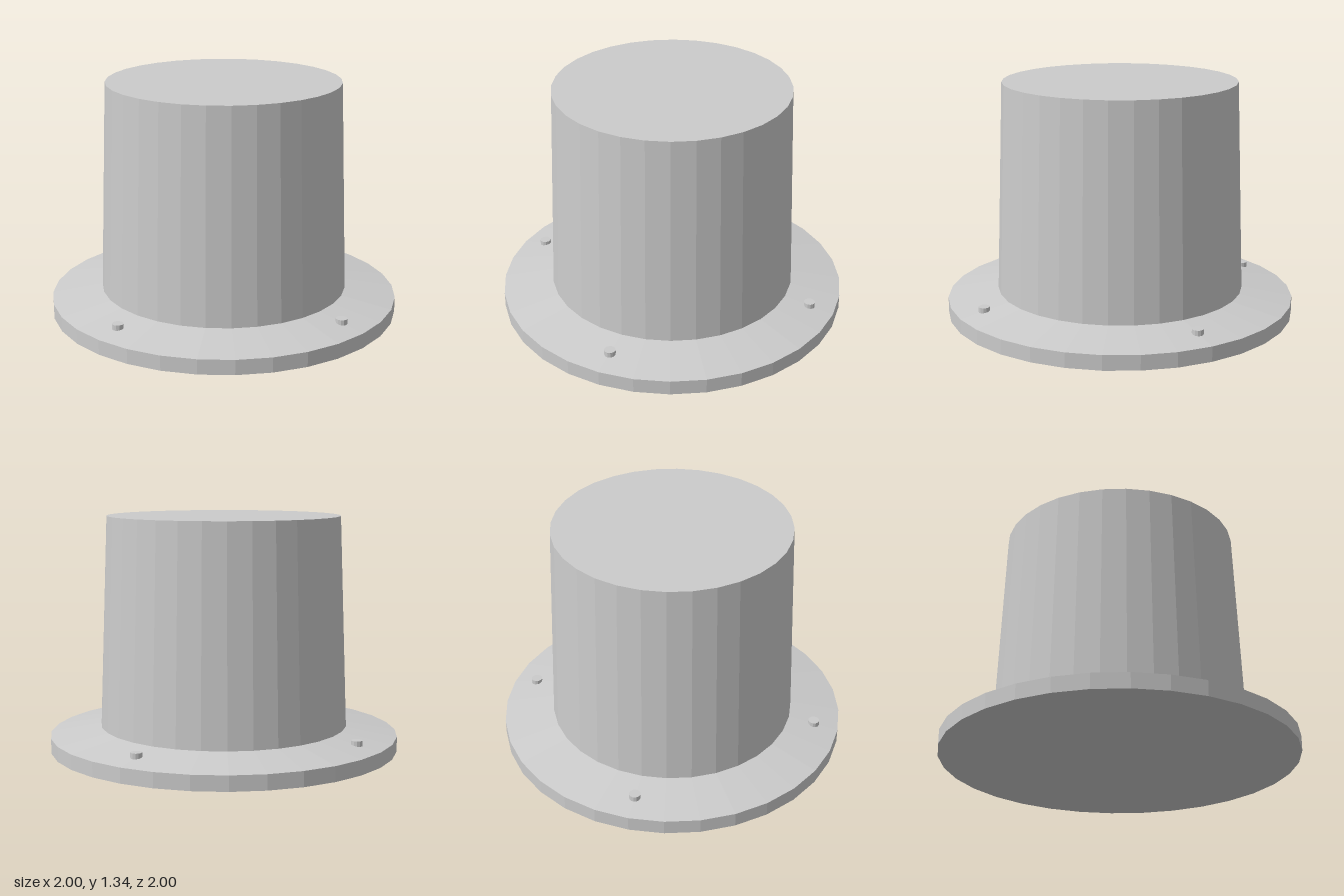
import * as THREE from 'three';

const SIDES = 32;

export function createModel() {
  const model = new THREE.Group();
  const material = new THREE.MeshStandardMaterial({ color: 0xcccccc, flatShading: true });

  // Adds a capped, optionally tapered cylinder standing between two heights
  const addCylinder = (name, rTop, rBottom, y0, y1, sides, x = 0, z = 0) => {
    const mesh = new THREE.Mesh(new THREE.CylinderGeometry(rTop, rBottom, y1 - y0, sides), material);
    mesh.name = name;
    mesh.position.set(x, (y0 + y1) / 2, z);
    model.add(mesh);
  };

  // Round base flange: straight rim, then a shallow slope up to the body
  const profile = [[0, 0], [1, 0], [1, 0.085], [0.71, 0.135], [0, 0.135]]
    .map(([r, y]) => new THREE.Vector2(r, y));
  const flange = new THREE.Mesh(new THREE.LatheGeometry(profile, SIDES), material);
  flange.name = 'baseFlange';
  model.add(flange);

  // Slightly tapered body
  addCylinder('body', 0.665, 0.71, 0.13, 1.335, SIDES);

  // Four bolts on the flange
  for (let i = 0; i < 4; i++) {
    const a = (i * Math.PI) / 2;
    addCylinder('bolt', 0.032, 0.032, 0.09, 0.135, 12, 0.857 * Math.sin(a), 0.857 * Math.cos(a));
  }

  return model;
}
